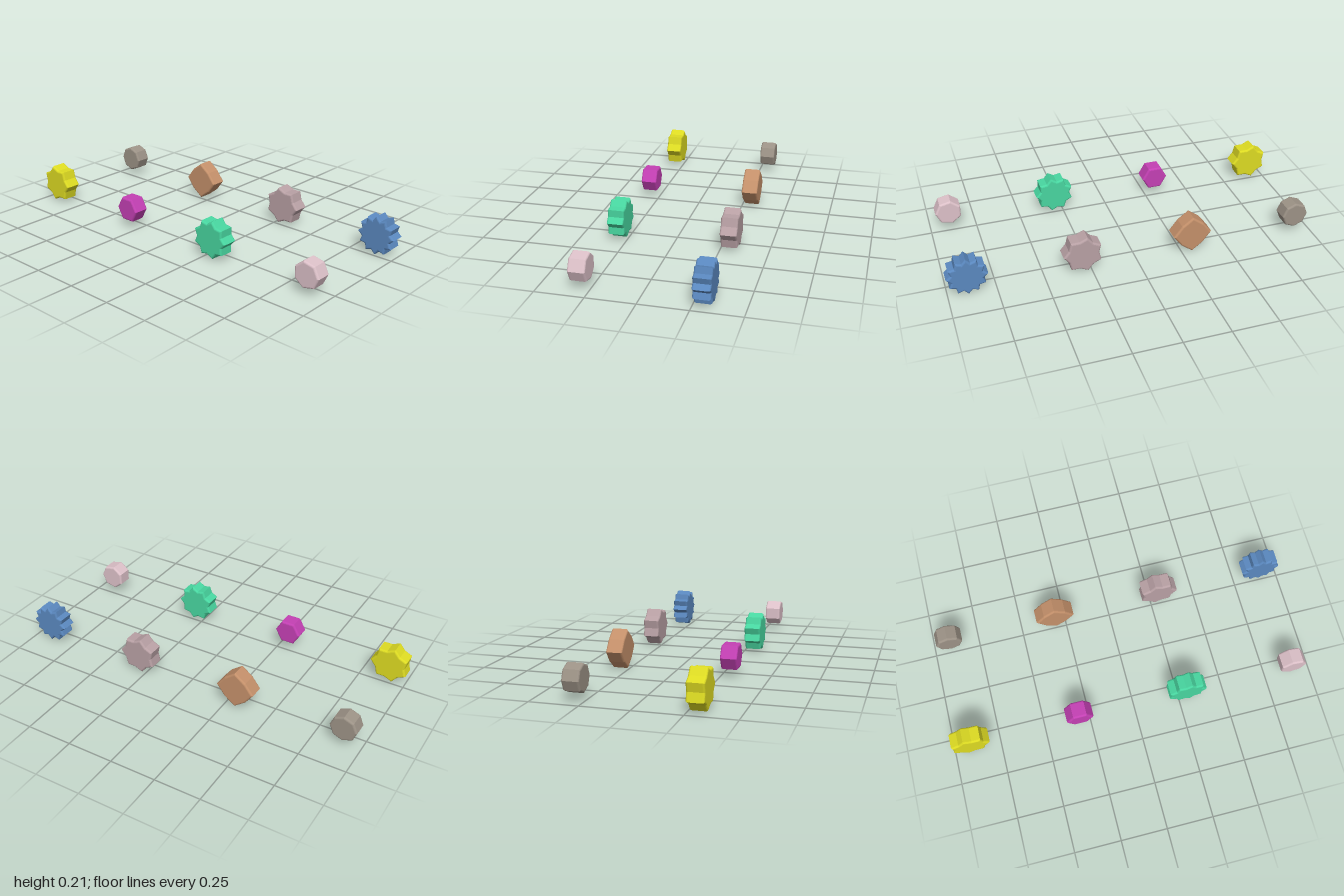
import * as THREE from 'three';

const DEPTH = 0.0886, BEVEL = 0.011, CENTER_Y = 0.1065;

// Outline with its first corner on +x; a star when an inner radius is given
function outline(points, outer, inner) {
  const count = inner ? points * 2 : points;
  const corners = [];
  for (let i = 0; i < count; i++) {
    const a = (i / count) * Math.PI * 2;
    const r = inner && i % 2 ? inner : outer;
    corners.push(new THREE.Vector2(Math.cos(a) * r, Math.sin(a) * r));
  }
  return new THREE.Shape(corners);
}

// Upright token with rounded front and back rims
function token({ name, x, z, points, outer, inner, color }) {
  const geometry = new THREE.ExtrudeGeometry(outline(points, outer, inner), {
    depth: DEPTH - 2 * BEVEL,
    bevelEnabled: true,
    bevelThickness: BEVEL,
    bevelSize: BEVEL,
    bevelOffset: -BEVEL,
    bevelSegments: 6,
  });
  geometry.translate(0, 0, BEVEL - DEPTH / 2);
  const mesh = new THREE.Mesh(geometry, new THREE.MeshStandardMaterial({ color }));
  mesh.name = name;
  mesh.position.set(x, CENTER_Y, z);
  return mesh;
}

export function createModel() {
  const group = new THREE.Group();
  group.name = 'tokenSet';
  const columns = [-0.906, -0.306, 0.294, 0.894];
  const star = { outer: 0.1055, inner: 0.085 };
  const polygon = { outer: 0.073 };

  // Front row, from -x to +x
  const front = [
    { name: 'yellowSevenPointStar', points: 7, ...star, color: 0xdddb22 },
    { name: 'magentaHexagon', points: 6, ...polygon, color: 0xc440b4 },
    { name: 'greenNinePointStar', points: 9, ...star, color: 0x48d6a0 },
    { name: 'pinkHeptagon', points: 7, ...polygon, color: 0xdcc0c8 },
  ];
  // Back row, from -x to +x
  const back = [
    { name: 'greyOctagon', points: 8, ...polygon, color: 0x9c9286 },
    { name: 'brownFourPointStar', points: 4, ...star, color: 0xc4906a },
    { name: 'mauveSevenPointStar', points: 7, ...star, color: 0xb8a0a4 },
    { name: 'blueTwelvePointStar', points: 12, ...star, outer: 0.1065, color: 0x5a88bf },
  ];
  columns.forEach((x, i) => {
    group.add(token({ ...front[i], x, z: 0.3 }));
    group.add(token({ ...back[i], x, z: -0.3 }));
  });
  return group;
}
